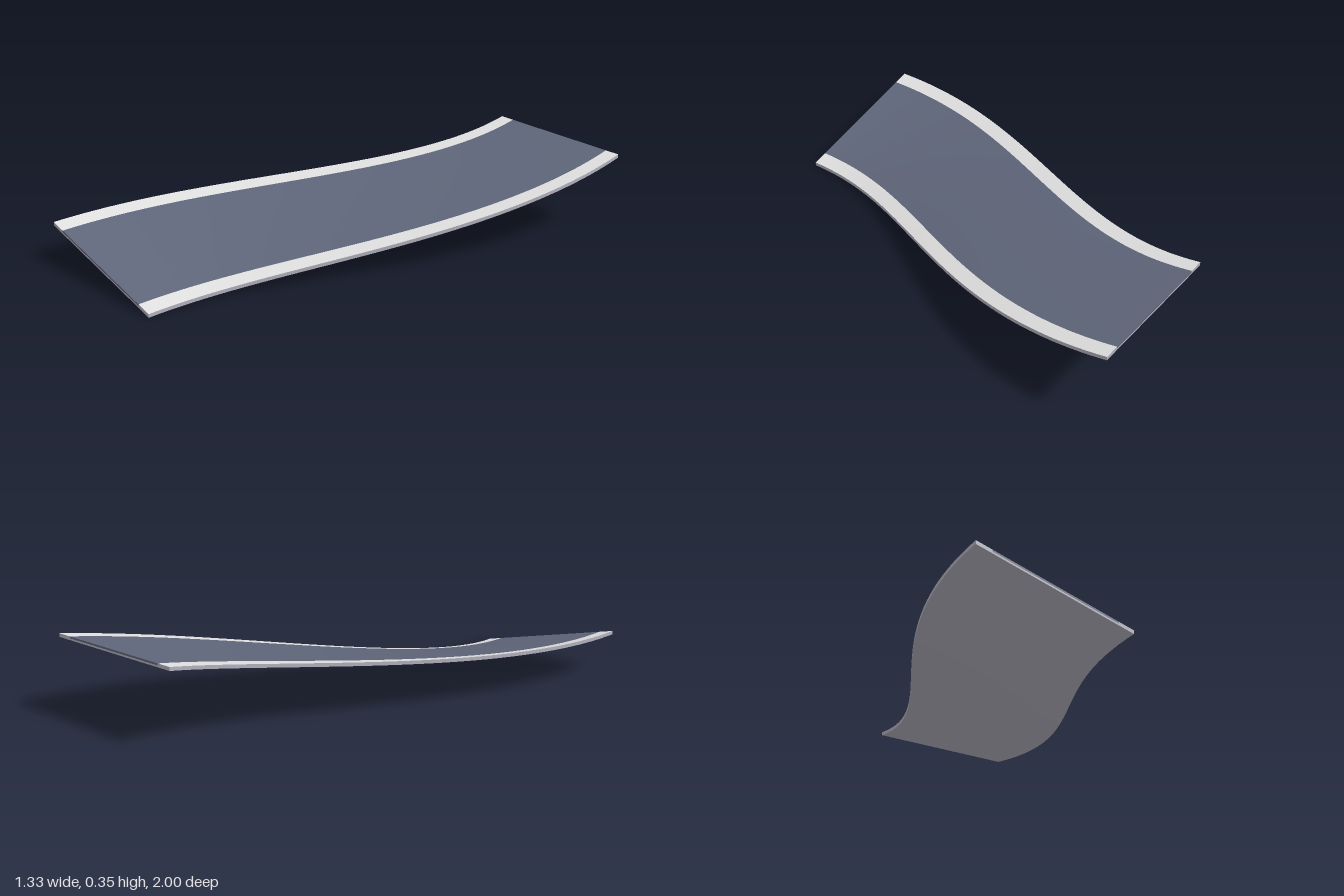
import * as THREE from 'three';

const HALF = 1 / 3, VERGE = 0.8, THICK = 0.0155, LAYER = 0.008, STEPS = 64;

// Point of the banked slab: t along it, u across it (-1..1), drop below the top
function slabPoint(t, u, drop) {
  // The centre line sways from right to left while it climbs and the bank levels out
  const x = -HALF * Math.cos(Math.PI * t), z = 1 - 2 * t;
  const slope = HALF * Math.PI * Math.sin(Math.PI * t) / 2;
  const ease = Math.cos(Math.PI * t / 2);
  const y = 0.347 - 0.247 * ease - 0.0835 * ease * u - drop;
  const side = u * HALF / Math.hypot(1, slope);
  return new THREE.Vector3(x + side, y, z + side * slope);
}

function gridGeometry(points, cols, rows) {
  const index = [];
  for (let i = 0; i < rows - 1; i++) {
    for (let j = 0; j < cols - 1; j++) {
      const a = i * cols + j, b = a + 1, c = a + cols, d = c + 1;
      index.push(a, b, d, a, d, c);
    }
  }
  const g = new THREE.BufferGeometry().setFromPoints(points);
  g.setIndex(index);
  g.computeVertexNormals();
  return g;
}

// Ribbon swept along the slab between two cross-section points [u, drop]
function ribbon(from, to, cols = 2) {
  const points = [];
  for (let i = 0; i <= STEPS; i++) {
    for (let j = 0; j < cols; j++) {
      const k = j / (cols - 1);
      points.push(slabPoint(i / STEPS,
        THREE.MathUtils.lerp(from[0], to[0], k), THREE.MathUtils.lerp(from[1], to[1], k)));
    }
  }
  return gridGeometry(points, cols, STEPS + 1);
}

// Face closing one end between u0 and u1, from drop top to drop bottom
function endFace(t, u0, u1, top, bottom) {
  const [a, b] = t === 0 ? [u0, u1] : [u1, u0];
  return gridGeometry([
    slabPoint(t, a, bottom), slabPoint(t, b, bottom),
    slabPoint(t, a, top), slabPoint(t, b, top)], 2, 2);
}

export function createModel() {
  const model = new THREE.Group();
  model.name = 'bankedRoad';
  const material = (name, color) => {
    const m = new THREE.MeshStandardMaterial({ color });
    m.name = name;
    return m;
  };
  const asphalt = material('slateAsphalt', 0x5f667a);
  const pale = material('paleVerge', 0xe0e0e0);
  const concrete = material('mauveConcrete', 0xb2b0bc);
  const add = (name, geometry, mat) => {
    const mesh = new THREE.Mesh(geometry, mat);
    mesh.name = name;
    model.add(mesh);
  };

  // Top surface
  add('roadSurface', ribbon([-VERGE, 0], [VERGE, 0], 9), asphalt);
  add('rightVerge', ribbon([-1, 0], [-VERGE, 0]), pale);
  add('leftVerge', ribbon([VERGE, 0], [1, 0]), pale);

  // Slab body
  add('underside', ribbon([1, THICK], [-1, THICK], 9), concrete);
  add('leftSide', ribbon([1, 0], [1, THICK]), concrete);
  add('rightSide', ribbon([-1, THICK], [-1, 0]), concrete);

  // Ends: the asphalt layer shows above the concrete
  for (const [name, t] of [['front', 0], ['back', 1]]) {
    add(name + 'RoadEnd', endFace(t, -VERGE, VERGE, 0, LAYER), asphalt);
    add(name + 'SlabEnd', endFace(t, -1, 1, LAYER, THICK), concrete);
    add(name + 'RightVergeEnd', endFace(t, -1, -VERGE, 0, LAYER), concrete);
    add(name + 'LeftVergeEnd', endFace(t, VERGE, 1, 0, LAYER), concrete);
  }
  return model;
}
